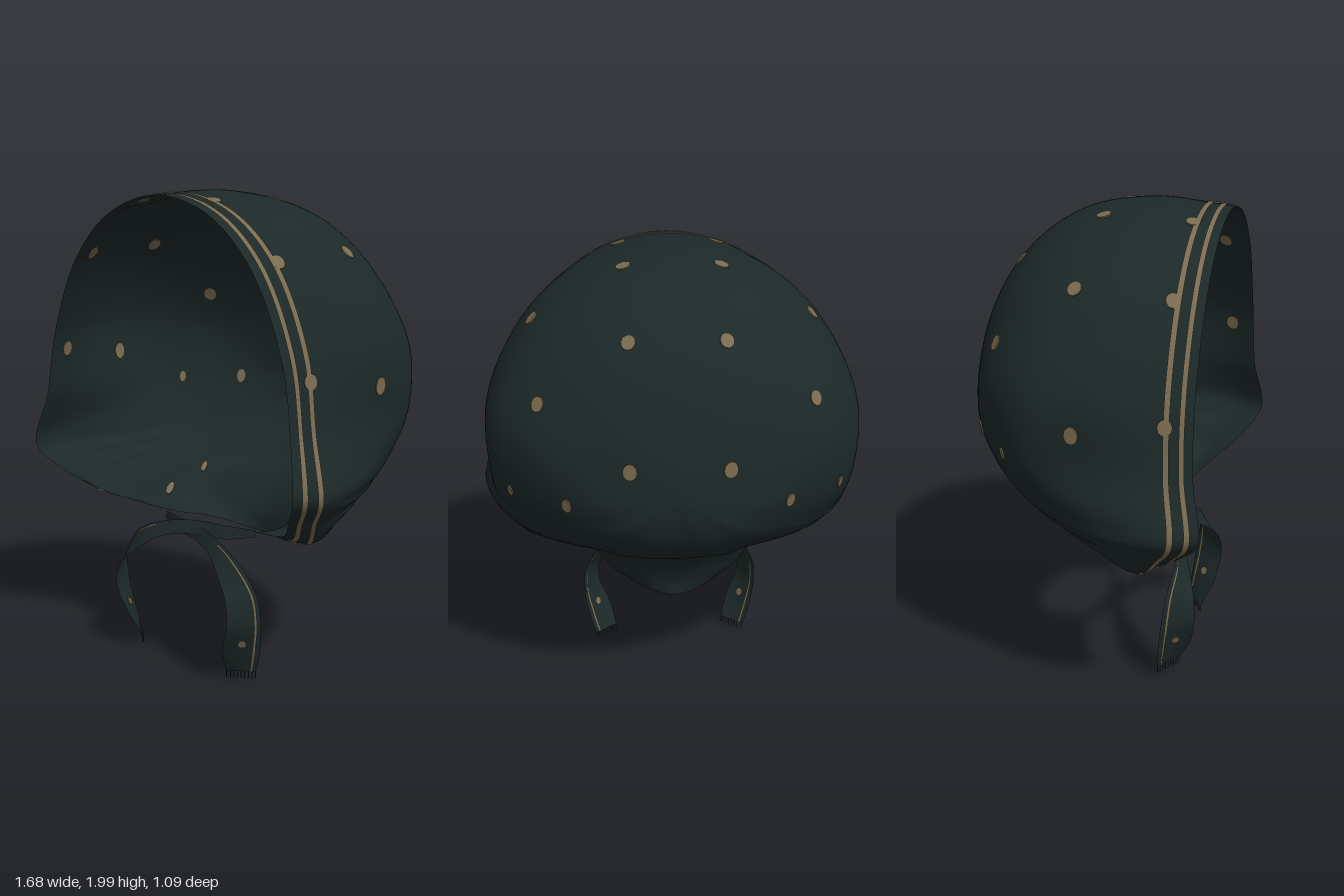
import * as THREE from 'three';
import { ParametricGeometry } from 'three/addons/geometries/ParametricGeometry.js';

const V = (a) => new THREE.Vector3(...a);

// Half meridians of the hood, each running from the open edge towards the back of the head
const crown = [
  [[0, 1.975, .5], [0, 1.985, .37], [0, 1.997, .15], [0, 1.94, -.13], [0, 1.76, -.36], [0, 1.47, -.495]],
  [[.3, 1.9, .5], [.31, 1.92, .37], [.33, 1.935, .15], [.325, 1.875, -.13], [.265, 1.69, -.365], [.15, 1.44, -.495]],
  [[.53, 1.7, .5], [.555, 1.73, .37], [.593, 1.75, .13], [.575, 1.695, -.13], [.465, 1.555, -.35], [.25, 1.38, -.49]],
  [[.685, 1.38, .5], [.72, 1.4, .37], [.778, 1.41, .1], [.75, 1.39, -.15], [.595, 1.34, -.355], [.3, 1.26, -.49]],
  [[.74, 1.1, .51], [.77, 1.1, .38], [.78, 1.1, .12], [.75, 1.1, -.16], [.57, 1.12, -.352], [.3, 1.14, -.495]],
];
const lower = [
  [[.785, .87, .545], [.838, .87, .41], [.81, .87, .2], [.68, .89, -.1], [.48, .96, -.34], [.24, 1.06, -.5]],
  [[.7, .765, .475], [.75, .755, .35], [.735, .785, .16], [.62, .82, -.08], [.43, .9, -.325], [.22, 1.03, -.5]],
  [[.58, .675, .37], [.65, .642, .27], [.64, .71, .12], [.55, .77, -.06], [.38, .86, -.3], [.2, 1.0, -.49]],
  [[.26, .595, .2], [.32, .605, .12], [.37, .66, .05], [.37, .72, -.06], [.28, .8, -.25], [.14, .96, -.48]],
  [[.22, .54, .0], [.26, .59, -.04], [.28, .66, -.08], [.26, .73, -.15], [.18, .81, -.32], [.09, .95, -.48]],
  [[0, .49, -.11], [0, .57, -.125], [0, .66, -.17], [0, .74, -.24], [0, .82, -.35], [0, .95, -.475]],
];
const half = [...crown, ...lower];
const mirrored = half.slice(1, -1).reverse().map((m) => m.map(([x, y, z]) => [-x, y, z]));
const meridians = [...half, ...mirrored];
const rings = [0, 1, 2, 3, 4, 5].map((k) => new THREE.CatmullRomCurve3(meridians.map((m) => V(m[k])), true));
const pole = V([0, 1.17, -.54]);

// Hood surface: t goes round the edge (0 top, 0.5 nape), s from the edge (0) to the back (6)
function hoodPoint(t, s, out) {
  const wrap = (a) => ((a % 1) + 1) % 1;
  const line = rings.map((r) => r.getPoint(wrap(t)));
  line.push(pole, rings[5].getPoint(wrap(t + .5)));
  new THREE.CatmullRomCurve3(line).getPoint(s / 7, out);
  // soft gathers towards the neck
  const low = THREE.MathUtils.smoothstep(1.1 - out.y, 0, .45);
  const inner = THREE.MathUtils.smoothstep(s, .9, 2) * THREE.MathUtils.smoothstep(6 - s, 1.2, 3.5);
  const fold = 1 + .01 * low * inner * Math.sin(t * Math.PI * 2 * 26);
  out.x *= fold;
  out.z *= fold;
  return out;
}

function hoodPatch(t0, t1, s0, s1, cols, rows) {
  return new ParametricGeometry((u, v, p) => {
    hoodPoint(t0 + (t1 - t0) * u, s0 + (s1 - s0) * v, p);
  }, cols, rows);
}

// Move a surface outwards along its normals
function lifted(geometry, amount) {
  const { position, normal } = geometry.attributes;
  const p = new THREE.Vector3(), n = new THREE.Vector3();
  for (let i = 0; i < position.count; i++) {
    p.fromBufferAttribute(position, i).addScaledVector(n.fromBufferAttribute(normal, i), amount);
    position.setXYZ(i, p.x, p.y, p.z);
  }
  return geometry;
}

// Rotation that lays a disc on a surface, its local z pointing as far upwards as it can
function layOn(normal) {
  const z = new THREE.Vector3(0, 1, -.02).projectOnPlane(normal).normalize();
  const x = new THREE.Vector3().crossVectors(normal, z);
  return new THREE.Quaternion().setFromRotationMatrix(new THREE.Matrix4().makeBasis(x, normal, z));
}

// Tie ribbon: centre line with a half-width vector at each point
const tiePath = new THREE.CatmullRomCurve3([
  [-.285, .575, .21], [-.16, .565, .26], [0, .567, .3], [.15, .54, .345], [.28, .47, .38],
  [.36, .37, .385], [.37, .26, .38], [.335, .14, .36], [.305, .035, .33]].map(V));
const tieWidth = new THREE.CatmullRomCurve3([
  [0, .014, -.003], [0, .027, -.01], [0, .028, -.012], [.008, .03, -.015], [.025, .035, -.03],
  [.035, .01, -.055], [.035, 0, -.065], [.05, 0, -.06], [.05, 0, -.038]].map(V));
const tieNormal = (u) => tieWidth.getPoint(u).cross(tiePath.getTangent(u)).normalize();

function tiePatch(w0, w1, lift, u0 = 0) {
  return new ParametricGeometry((a, b, p) => {
    const u = u0 + (1 - u0) * b;
    p.copy(tiePath.getPoint(u)).addScaledVector(tieWidth.getPoint(u), w0 + (w1 - w0) * a);
    p.addScaledVector(tieNormal(u), lift);
  }, 6, 60);
}

export function createModel() {
  const cloth = new THREE.MeshStandardMaterial({ color: 0x1c2928, side: THREE.DoubleSide });
  cloth.name = 'dark green cloth';
  const tan = new THREE.MeshStandardMaterial({ color: 0x7a6b50, side: THREE.DoubleSide });
  tan.name = 'tan print';

  const model = new THREE.Group();
  model.name = 'bonnet';
  const add = (parent, name, geometry, material) => {
    const mesh = new THREE.Mesh(geometry, material);
    mesh.name = name;
    parent.add(mesh);
    return mesh;
  };

  // Hood with two border stripes printed on its outer face only
  const hood = hoodPatch(-.5, .5, 0, 5.9999, 240, 66);
  add(model, 'hood', hood, cloth);
  for (const [s0, s1] of [[.26, .42], [.7, .86]]) {
    add(model, 'borderStripe', lifted(hoodPatch(-.37, .37, s0, s1, 240, 2), .005), tan);
  }

  // Printed dots: thin discs on the nearest point of the hood, with width and height factors
  const dots = new THREE.Group();
  dots.name = 'dots';
  model.add(dots);
  const dotShape = new THREE.CylinderGeometry(.029, .029, .009, 12);
  const pos = hood.attributes.position, nor = hood.attributes.normal;
  const p = new THREE.Vector3(), n = new THREE.Vector3();
  const spots = [
    [.2, 1.95, .385], [.55, 1.73, .385], [.71, 1.28, .39], [.2, 1.97, .02], [.59, 1.75, .01],
    [.78, 1.26, .05, .95, 1.25], [.2, 1.785, -.35], [.55, 1.52, -.34], [.19, 1.3, -.51, 1, 1.2],
    [.45, 1.12, -.42, .75, 1.1], [.67, 1.12, -.25, .5, .9], [.4, .68, .1, .55, 1.3], [.36, .74, -.08, .4, 1.2]];
  for (const [x, y, z, width = 1, height = 1.1] of spots) {
    for (const side of [1, -1]) {
      const target = V([x * side, y, z]);
      let best = 0, nearest = Infinity;
      for (let i = 0; i < pos.count; i++) {
        const d = p.fromBufferAttribute(pos, i).distanceToSquared(target);
        if (d < nearest) { nearest = d; best = i; }
      }
      const dot = add(dots, 'dot', dotShape, tan);
      dot.position.fromBufferAttribute(pos, best);
      dot.quaternion.copy(layOn(n.fromBufferAttribute(nor, best).normalize()));
      dot.scale.set(width, 1, height);
    }
  }

  // Crossing ties with edge stripe, dot and fringe; the second is the mirror of the first
  for (const side of [1, -1]) {
    const tie = new THREE.Group();
    tie.name = side > 0 ? 'leftTie' : 'rightTie';
    add(tie, 'ribbon', tiePatch(-1, 1, 0), cloth);
    for (const lift of [.004, -.004]) add(tie, 'ribbonStripe', tiePatch(.62, .72, lift, .4), tan);
    const tieDot = add(tie, 'tieDot', new THREE.CylinderGeometry(.018, .018, .009, 10), tan);
    tieDot.position.copy(tiePath.getPoint(.84));
    tieDot.quaternion.copy(layOn(tieNormal(.84)));
    for (let i = 0; i < 9; i++) {
      const thread = add(tie, 'fringeThread', new THREE.BoxGeometry(.003, .03, .003), cloth);
      thread.position.copy(tiePath.getPoint(1)).addScaledVector(tieWidth.getPoint(1), -.96 + i * .24);
      thread.position.y -= .015;
    }
    tie.scale.x = side;
    // the mirrored tie hangs a little higher and lies just in front at the crossing
    if (side < 0) tie.position.set(-.008, .02, .008);
    model.add(tie);
  }
  return model;
}
